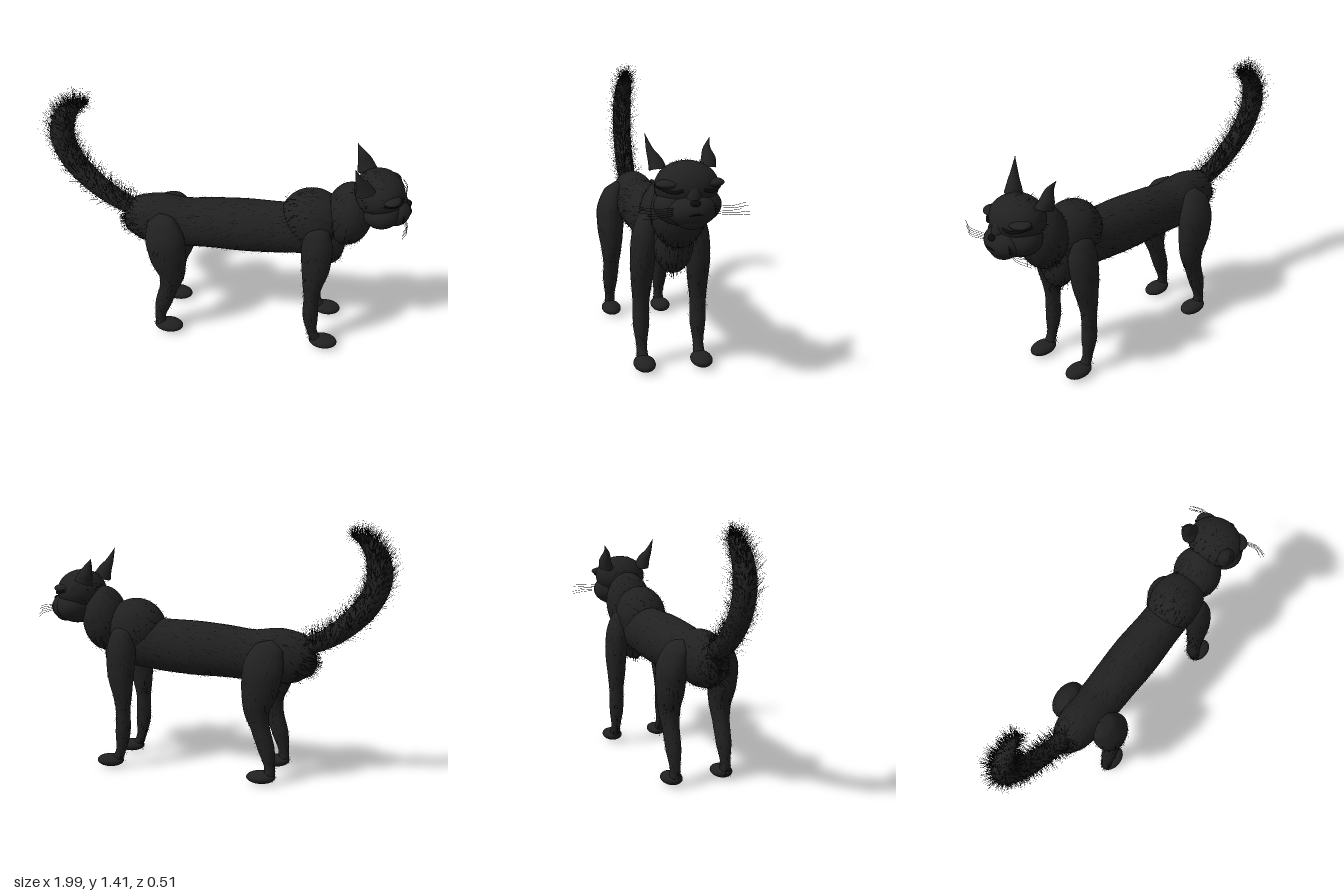
import * as THREE from 'three';

export function createModel() {
  const cat = new THREE.Group();
  cat.name = 'cat';
  const coat = new THREE.MeshStandardMaterial({ color: 0x212121 });
  coat.name = 'charcoal coat';
  const dark = new THREE.MeshStandardMaterial({ color: 0x0b0b0b, side: THREE.DoubleSide });
  dark.name = 'black hair';

  let seed = 7;
  const rand = () => (seed = (seed * 16807) % 2147483647) / 2147483647;

  const add = (name, geometry, material = coat) => {
    const mesh = new THREE.Mesh(geometry, material);
    mesh.name = name;
    cat.add(mesh);
    return mesh;
  };

  // Ellipsoid with centre c, radii r and a tilt about z
  const blob = (name, c, r, tilt = 0, material = coat) =>
    add(name, new THREE.SphereGeometry(1, 32, 22).scale(...r).rotateZ(tilt).translate(...c), material);

  // Smooth limb through elliptical sections [x, y, z, radius in profile, radius across]
  function limb(name, sections, steps = 40, sides = 24) {
    const path = new THREE.CatmullRomCurve3(sections.map(s => new THREE.Vector3(s[0], s[1], s[2])));
    const radii = new THREE.CatmullRomCurve3(sections.map(s => new THREE.Vector3(s[3], s[4], 0)));
    const across = new THREE.Vector3(0, 0, 1);
    const pos = [], index = [];
    for (let i = 0; i <= steps; i++) {
      const t = i / steps;
      const c = path.getPoint(t), r = radii.getPoint(t);
      const up = new THREE.Vector3().crossVectors(across, path.getTangent(t)).normalize();
      for (let j = 0; j < sides; j++) {
        const a = (j / sides) * Math.PI * 2;
        const p = c.clone()
          .addScaledVector(up, Math.max(r.x, 0.001) * Math.cos(a))
          .addScaledVector(across, Math.max(r.y, 0.001) * Math.sin(a));
        pos.push(p.x, p.y, p.z);
        if (i < steps) {
          const k = (j + 1) % sides, b = i * sides, n = b + sides;
          index.push(b + j, b + k, n + j, b + k, n + k, n + j);
        }
      }
    }
    const g = new THREE.BufferGeometry();
    g.setAttribute('position', new THREE.Float32BufferAttribute(pos, 3));
    g.setIndex(index);
    g.computeVertexNormals();
    return add(name, g);
  }

  // Fine slivers growing from a mesh along its normals and a combing direction
  function fur(mesh, count, length, lift, comb) {
    const { position, normal } = mesh.geometry.attributes;
    const index = mesh.geometry.index;
    const pos = [];
    const v = new THREE.Vector3();
    for (let i = 0; i < count; i++) {
      const f = Math.floor(rand() * index.count / 3) * 3;
      const u = rand(), w = rand() * (1 - u), weights = [u, w, 1 - u - w];
      const root = new THREE.Vector3(), n = new THREE.Vector3();
      weights.forEach((k, c) => {
        root.addScaledVector(v.fromBufferAttribute(position, index.getX(f + c)), k);
        n.addScaledVector(v.fromBufferAttribute(normal, index.getX(f + c)), k);
      });
      const dir = n.clone().normalize().multiplyScalar(lift * (0.5 + rand()));
      dir.add(v.set(comb[0], comb[1], comb[2]));
      dir.add(v.set(rand() - 0.5, rand() - 0.5, rand() - 0.5).multiplyScalar(0.4));
      dir.normalize();
      const side = new THREE.Vector3().crossVectors(dir, n).normalize().multiplyScalar(0.0012);
      const tip = root.clone().addScaledVector(dir, length * (0.4 + 0.6 * rand()));
      const a = root.clone().add(side), b = root.clone().sub(side);
      pos.push(a.x, a.y, a.z, b.x, b.y, b.z, tip.x, tip.y, tip.z);
    }
    const g = new THREE.BufferGeometry();
    g.setAttribute('position', new THREE.Float32BufferAttribute(pos, 3));
    g.computeVertexNormals();
    add(mesh.name + 'Fur', g, dark);
  }

  // Torso with rounded rump
  const torso = limb('torso', [
    [-0.55, 0.66, 0, 0, 0], [-0.53, 0.66, 0, 0.075, 0.055], [-0.46, 0.67, 0, 0.13, 0.098],
    [-0.34, 0.675, 0, 0.148, 0.12], [-0.2, 0.67, 0, 0.137, 0.12], [-0.05, 0.68, 0, 0.142, 0.125],
    [0.12, 0.685, 0, 0.148, 0.13], [0.3, 0.69, 0, 0.145, 0.122], [0.45, 0.7, 0, 0.14, 0.12],
    [0.58, 0.7, 0, 0.1, 0.1],
  ], 60, 32);
  fur(torso, 1500, 0.045, 0.22, [-0.8, -0.25, 0]);

  // Shoulders, chest and neck ruff
  const shoulders = blob('shoulders', [0.475, 0.77, 0], [0.17, 0.17, 0.14]);
  const chest = blob('chest', [0.57, 0.65, 0], [0.088, 0.155, 0.1], 0.08);
  const neck = blob('neck', [0.665, 0.82, 0], [0.125, 0.18, 0.132], -0.08);
  fur(shoulders, 500, 0.04, 0.25, [-0.8, -0.2, 0]);
  fur(chest, 250, 0.04, 0.3, [0, -0.9, 0]);
  fur(neck, 500, 0.045, 0.3, [-0.4, -0.7, 0]);

  // Head
  const skull = blob('skull', [0.805, 0.97, 0], [0.132, 0.115, 0.148]);
  blob('cheeks', [0.825, 0.885, 0], [0.115, 0.098, 0.157]);
  blob('muzzle', [0.895, 0.875, 0], [0.083, 0.076, 0.112]);
  blob('chin', [0.9, 0.83, 0], [0.06, 0.04, 0.07]);
  blob('noseBridge', [0.905, 0.945, 0], [0.045, 0.07, 0.04], 0.35);
  blob('nose', [0.958, 0.918, 0], [0.02, 0.015, 0.024], 0, dark);
  fur(skull, 350, 0.03, 0.2, [-0.9, -0.1, 0]);

  // Mouth crease
  const mouth = new THREE.CatmullRomCurve3([-1, -0.5, 0, 0.5, 1].map(s =>
    new THREE.Vector3(0.979 - 0.055 * s * s, 0.872 - 0.015 * Math.abs(s), s * 0.08)));
  add('mouth', new THREE.TubeGeometry(mouth, 24, 0.004, 6), dark);

  for (const s of [1, -1]) {
    const label = s > 0 ? 'left' : 'right';

    // Brow, closed eye and ear
    blob(label + 'Brow', [0.865, 0.993, s * 0.098], [0.052, 0.022, 0.06]);
    const lid = new THREE.CatmullRomCurve3([
      new THREE.Vector3(0.926, 0.972, s * 0.045), new THREE.Vector3(0.917, 0.962, s * 0.085),
      new THREE.Vector3(0.875, 0.972, s * 0.13), new THREE.Vector3(0.835, 0.985, s * 0.15),
    ]);
    add(label + 'Eye', new THREE.TubeGeometry(lid, 20, 0.008, 8), dark);

    const tipY = s > 0 ? 1.195 : 1.165, tipZ = s > 0 ? 0.165 : 0.142;
    limb(label + 'Ear', [
      [0.735, 1.03, s * 0.115, 0.052, 0.042], [0.72, 1.075, s * 0.125, 0.038, 0.034],
      [0.7, 1.12, s * (tipZ - 0.02), 0.022, 0.018], [0.675, tipY, s * tipZ, 0, 0],
    ], 20, 16);

    // Whiskers
    for (let i = 0; i < 5; i++) {
      const y = 0.865 + i * 0.008, reach = 0.2 + 0.07 * rand();
      const curve = new THREE.CatmullRomCurve3([
        new THREE.Vector3(0.935, y, s * 0.09), new THREE.Vector3(0.957, y + (i - 2) * 0.003, s * 0.18),
        new THREE.Vector3(0.935, y + (i - 2) * 0.006, s * reach),
      ]);
      add(label + 'Whisker', new THREE.TubeGeometry(curve, 10, 0.001, 4), dark);
    }

    // Front leg and paw
    const foreleg = limb(label + 'FrontLeg', [
      [0.51, 0.82, s * 0.1, 0, 0], [0.51, 0.77, s * 0.115, 0.06, 0.045],
      [0.515, 0.66, s * 0.128, 0.083, 0.066], [0.515, 0.54, s * 0.14, 0.075, 0.06],
      [0.505, 0.42, s * 0.143, 0.052, 0.05], [0.503, 0.33, s * 0.145, 0.04, 0.041],
      [0.505, 0.22, s * 0.145, 0.042, 0.04], [0.522, 0.1, s * 0.145, 0.027, 0.026],
      [0.545, 0.045, s * 0.145, 0.03, 0.03],
    ]);
    fur(foreleg, 350, 0.035, 0.3, [-0.2, -0.9, 0]);
    blob(label + 'FrontPaw', [0.585, 0.041, s * 0.145], [0.077, 0.034, 0.054], -0.04);

    // Hind leg and paw
    const hindLeg = limb(label + 'HindLeg', [
      [-0.33, 0.78, s * 0.1, 0, 0], [-0.32, 0.74, s * 0.12, 0.075, 0.05],
      [-0.295, 0.63, s * 0.145, 0.107, 0.075], [-0.28, 0.52, s * 0.148, 0.1, 0.072],
      [-0.265, 0.41, s * 0.147, 0.072, 0.057], [-0.285, 0.31, s * 0.145, 0.05, 0.044],
      [-0.318, 0.2, s * 0.145, 0.045, 0.04], [-0.338, 0.1, s * 0.145, 0.029, 0.027],
      [-0.335, 0.045, s * 0.145, 0.032, 0.03],
    ]);
    fur(hindLeg, 400, 0.035, 0.3, [-0.2, -0.9, 0]);
    blob(label + 'HindPaw', [-0.29, 0.041, s * 0.145], [0.08, 0.034, 0.054], -0.04);
  }

  // Raised curling tail with long hair
  const tail = limb('tail', [
    [-0.48, 0.73, 0, 0.045, 0.045], [-0.6, 0.785, -0.008, 0.052, 0.05], [-0.72, 0.875, -0.018, 0.06, 0.052],
    [-0.82, 0.99, -0.03, 0.064, 0.053], [-0.868, 1.12, -0.04, 0.066, 0.053],
    [-0.85, 1.23, -0.045, 0.058, 0.048], [-0.79, 1.3, -0.047, 0.035, 0.036], [-0.72, 1.322, -0.048, 0, 0],
  ], 50);
  fur(tail, 2200, 0.085, 0.55, [-0.1, 0.6, 0]);

  return cat;
}
